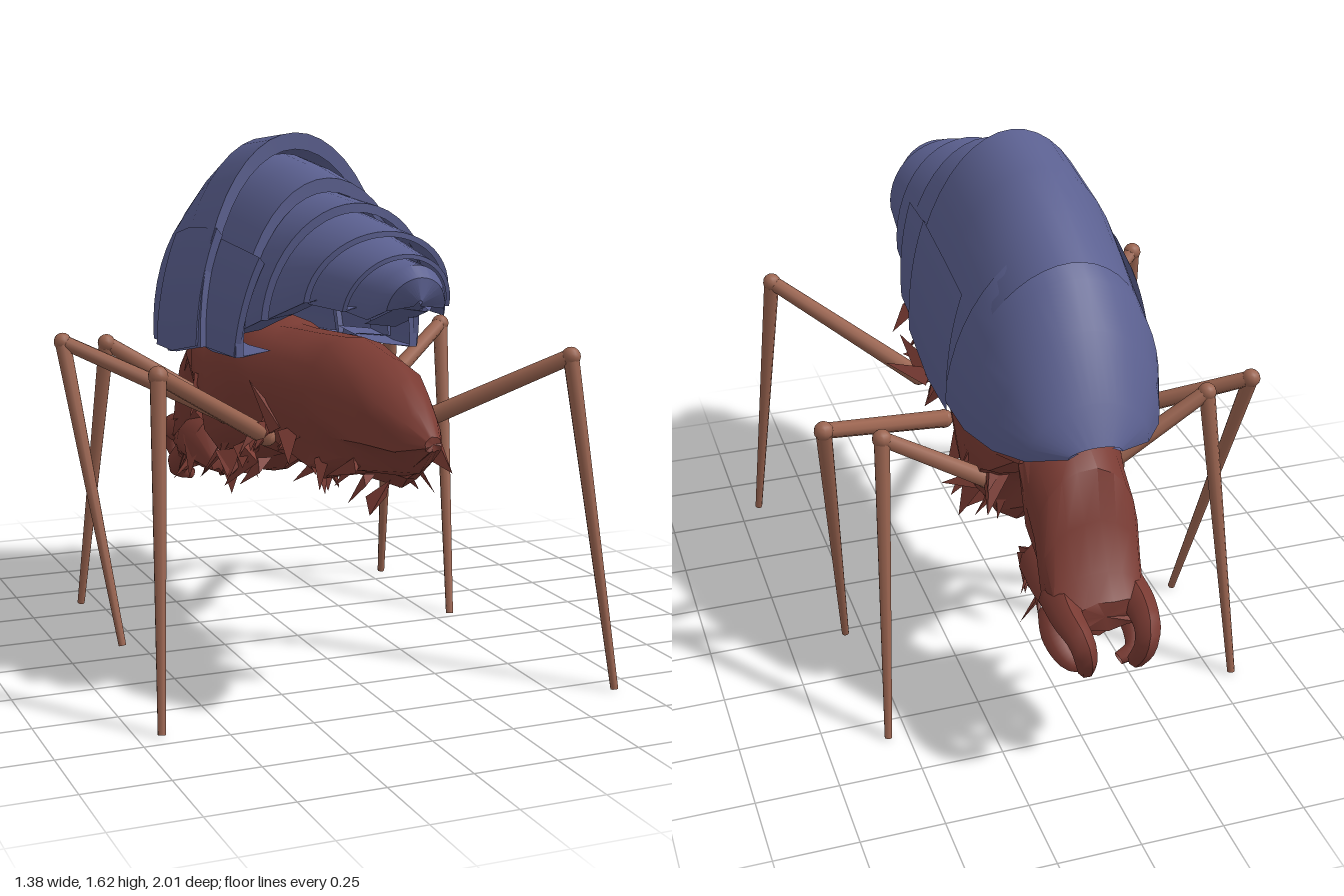
import * as THREE from 'three';
import { toCreasedNormals } from 'three/addons/utils/BufferGeometryUtils.js';

const shellBlue = new THREE.MeshStandardMaterial({ color: 0x5b6090, side: THREE.DoubleSide });
const fleshRed = new THREE.MeshStandardMaterial({ color: 0x7a3b33, side: THREE.DoubleSide });
const legBrown = new THREE.MeshStandardMaterial({ color: 0x9a6450 });

const V = (x, y, z) => new THREE.Vector3(x, y, z);
let seed = 7;
const rnd = () => { seed = (seed * 16807) % 2147483647; return seed / 2147483647; };
const jitter = (a) => (rnd() - 0.5) * a;

function add(parent, name, geometry, material) {
  const mesh = new THREE.Mesh(geometry, material);
  mesh.name = name;
  parent.add(mesh);
  return mesh;
}

// Skin joining a list of equally long rows of points
function skin(rows, crease) {
  const n = rows[0].length, pos = [], index = [];
  rows.forEach((row) => row.forEach((p) => pos.push(p.x, p.y, p.z)));
  for (let i = 0; i < rows.length - 1; i++) {
    for (let j = 0; j < n - 1; j++) {
      const a = i * n + j, b = a + n;
      index.push(a, a + 1, b, b, a + 1, b + 1);
    }
  }
  const g = new THREE.BufferGeometry();
  g.setAttribute('position', new THREE.Float32BufferAttribute(pos, 3));
  g.setIndex(index);
  return toCreasedNormals(g, crease);
}

// Arch of a shell plate: top z, bottom z, centre x, half width, top y, bottom y
function arch([zt, zb, cx, w, top, bot], scale = 1, t0 = 0, t1 = Math.PI) {
  const row = [];
  for (let j = 0; j <= 24; j++) {
    const t = t0 + (j / 24) * (t1 - t0), s = Math.sin(t);
    row.push(V(cx + scale * w * Math.cos(t), bot + (top - bot) * s * scale, zb + (zt - zb) * s));
  }
  return row;
}

// Full arch whose lower edges fold inward towards the body
function hemmedArch(section, scale = 1) {
  const [, zb, cx, w, , bot] = section;
  const hem = (s) => V(cx + s * w * 0.62, bot + 0.015, zb);
  return [hem(1), ...arch(section, scale), hem(-1)];
}

// Closed ring of the soft body: z, centre x, half width, top y, bottom y
function ring([z, cx, w, top, bot], rough) {
  const row = [], n = 18;
  for (let j = 0; j < n; j++) {
    const t = (j / n) * Math.PI * 2, low = Math.sin(t) < 0 ? rough : rough * 0.25;
    row.push(V(cx + w * Math.cos(t) + jitter(low),
      (top + bot) / 2 + (top - bot) / 2 * Math.sin(t) + jitter(low), z + jitter(low)));
  }
  row.push(row[0].clone());
  return row;
}

function soft(parent, name, sections, rough) {
  const rows = sections.map((s) => ring(s, rough * Math.min(1, s[2] / 0.12)));
  const cap = (s) => Array(19).fill(V(s[1], (s[3] + s[4]) / 2, s[0]));
  rows.unshift(cap(sections[0]));
  rows.push(cap(sections[sections.length - 1]));
  return add(parent, name, skin(rows, 0.7), fleshRed);
}

// Cylinder between two points
function rod(parent, name, a, b, ra, rb) {
  const d = b.clone().sub(a);
  const m = add(parent, name, new THREE.CylinderGeometry(rb, ra, d.length(), 8), legBrown);
  m.position.copy(a).addScaledVector(d, 0.5);
  m.quaternion.setFromUnitVectors(V(0, 1, 0), d.normalize());
}

// Flat pointed shard
function shard(parent, base, dir, length, width) {
  const m = add(parent, 'shard', new THREE.ConeGeometry(width, length, 3).toNonIndexed(), fleshRed);
  m.geometry.computeVertexNormals();
  dir.normalize();
  m.position.copy(base).addScaledVector(dir, length * 0.35);
  m.quaternion.setFromUnitVectors(V(0, 1, 0), dir);
  m.scale.z = 0.4;
}

// Tapering curved tube
function horn(parent, name, points, r0, r1) {
  const curve = new THREE.CatmullRomCurve3(points), n = 14;
  const g = new THREE.TubeGeometry(curve, n, r0, 7);
  const p = g.attributes.position, v = V(0, 0, 0);
  for (let i = 0; i < p.count; i++) {
    const u = Math.floor(i / 8) / n, c = curve.getPointAt(u);
    v.fromBufferAttribute(p, i).sub(c).multiplyScalar(1 + (r1 / r0 - 1) * u).add(c);
    p.setXYZ(i, v.x, v.y, v.z);
  }
  g.computeVertexNormals();
  add(parent, name, g, fleshRed);
}

export function createModel() {
  seed = 7;
  const model = new THREE.Group();
  model.name = 'shelledBeetle';

  // Overlapping shell plates, from the back to the front tip
  const shell = new THREE.Group();
  shell.name = 'shell';
  model.add(shell);
  const plates = {
    rearPlate: [[-0.765, -0.755, -0.02, 0.08, 1.02, 0.99], [-0.71, -0.68, -0.025, 0.185, 1.13, 0.96],
      [-0.6, -0.56, -0.035, 0.255, 1.3, 0.94], [-0.5, -0.42, -0.04, 0.302, 1.415, 0.94], [-0.38, -0.25, -0.04, 0.312, 1.49, 0.95]],
    mainPlate: [[-0.47, -0.31, -0.04, 0.302, 1.45, 0.95], [-0.3, -0.22, -0.045, 0.312, 1.54, 0.93],
      [-0.13, -0.08, -0.052, 0.322, 1.605, 0.95], [0.13, 0.17, -0.06, 0.32, 1.63, 1.0]],
    secondPlate: [[0, 0, -0.05, 0.3, 1.56, 1.0], [0.2, 0.2, -0.055, 0.298, 1.54, 0.99], [0.39, 0.39, -0.06, 0.288, 1.51, 1.0]],
    thirdPlate: [[0.28, 0.25, -0.05, 0.272, 1.47, 1.04], [0.56, 0.49, -0.045, 0.262, 1.45, 1.12]],
    fourthPlate: [[0.45, 0.4, -0.035, 0.24, 1.42, 1.1], [0.73, 0.67, -0.03, 0.22, 1.385, 1.19]],
    fifthPlate: [[0.62, 0.55, -0.03, 0.2, 1.37, 1.18], [0.86, 0.8, -0.03, 0.16, 1.335, 1.18]],
    tipPlate: [[0.78, 0.7, -0.03, 0.145, 1.32, 1.18], [0.9, 0.84, -0.02, 0.115, 1.31, 1.16], [0.935, 0.9, -0.02, 0.085, 1.28, 1.19], [0.935, 0.91, -0.02, 0.01, 1.22, 1.2]],
  };
  for (const [name, sections] of Object.entries(plates)) {
    const rows = sections.map((s) => hemmedArch(s));
    rows.push(hemmedArch(sections[sections.length - 1], 0.92)); // turned-in front rim
    add(shell, name, skin(rows, 0.6), shellBlue);
  }

  // Lower flank plates lying over the arches
  const flanks = [
    [[-0.25, -0.3, -0.045, 0.32, 1.55, 0.94], [-0.1, -0.1, -0.05, 0.328, 1.6, 0.95], [0.18, 0.14, -0.055, 0.324, 1.6, 1.0]],
    [[0.12, 0.12, -0.055, 0.306, 1.55, 1.0], [0.5, 0.38, -0.058, 0.288, 1.5, 1.0]],
  ];
  for (const sections of flanks) {
    for (const [t0, t1] of [[0, 0.62], [Math.PI - 0.62, Math.PI]]) {
      const rows = sections.map((s) => arch(s, 1.015, t0, t1));
      rows.push(arch(sections[sections.length - 1], 0.95, t0, t1));
      add(shell, 'flankPlate', skin(rows, 0.6), shellBlue);
    }
  }

  // Soft body with its pointed snout at the front
  soft(model, 'body', [[1, -0.01, 0.025, 0.86, 0.82], [0.93, -0.015, 0.065, 0.92, 0.76], [0.83, -0.02, 0.105, 0.985, 0.7],
    [0.7, -0.02, 0.14, 1.03, 0.68], [0.5, -0.02, 0.17, 1.06, 0.64], [0.3, -0.02, 0.2, 1.04, 0.65], [0.1, -0.02, 0.19, 1.03, 0.64],
    [-0.02, -0.01, 0.21, 1.03, 0.62], [-0.12, -0.01, 0.22, 1.04, 0.56], [-0.22, -0.01, 0.22, 1.04, 0.52], [-0.3, -0.01, 0.22, 1.04, 0.52],
    [-0.38, -0.01, 0.22, 1.03, 0.65], [-0.47, -0.01, 0.2, 1.0, 0.74], [-0.58, -0.01, 0.16, 0.98, 0.83]], 0.06);

  // Bent neck and head below the rear of the shell
  const head = new THREE.Group();
  head.name = 'head';
  model.add(head);
  soft(head, 'neck', [[-0.5, -0.01, 0.15, 0.99, 0.85], [-0.57, -0.01, 0.155, 0.99, 0.82], [-0.63, -0.015, 0.155, 0.97, 0.6],
    [-0.71, -0.015, 0.155, 0.92, 0.52], [-0.76, -0.015, 0.15, 0.78, 0.47], [-0.82, -0.015, 0.14, 0.64, 0.46],
    [-0.88, -0.015, 0.13, 0.58, 0.48]], 0.025);
  soft(head, 'jaw', [[-0.5, -0.01, 0.11, 0.53, 0.44], [-0.57, -0.01, 0.15, 0.64, 0.43], [-0.7, -0.015, 0.16, 0.64, 0.42],
    [-0.8, -0.015, 0.14, 0.58, 0.42]], 0.03);
  for (const s of [-1, 1]) {
    const P = (x, y, z) => V(-0.015 + s * x, y, z);
    horn(head, 'upperMandible', [P(0.1, 0.55, -0.76), P(0.11, 0.54, -0.88), P(0.1, 0.52, -0.96), P(0.09, 0.47, -0.97), P(0.075, 0.4, -0.935)], 0.06, 0.025);
    horn(head, 'lowerMandible', [P(0.1, 0.48, -0.74), P(0.12, 0.43, -0.8), P(0.1, 0.385, -0.86), P(0.05, 0.365, -0.87)], 0.055, 0.02);
  }

  // Ragged shards: z range, base y, base half width, count per side
  const shards = new THREE.Group();
  shards.name = 'shards';
  model.add(shards);
  const clusters = [[0.35, 0.8, 0.72, 0.14, 9], [0.22, 0.42, 0.76, 0.18, 8], [-0.3, 0.0, 0.62, 0.18, 14],
    [-0.45, -0.2, 0.75, 0.2, 5], [-0.7, -0.5, 0.52, 0.14, 7]];
  for (const [z0, z1, y, w, count] of clusters) {
    for (let i = 0; i < count * 2; i++) {
      const s = i % 2 ? 1 : -1;
      shard(shards, V(-0.01 + s * w * (0.4 + rnd() * 0.6), y + jitter(0.12), z0 + (z1 - z0) * rnd()),
        V(s * (0.1 + rnd() * 0.5), -0.6 + jitter(0.8), jitter(1.5)), 0.1 + rnd() * 0.07, 0.035 + rnd() * 0.035);
    }
  }
  for (const s of [-1, 1]) {
    shard(shards, V(s * 0.2, 0.79, 0.31), V(s * 0.5, 0.9, -0.2), 0.17, 0.035);
    shard(shards, V(s * 0.2, 0.76, 0.27), V(s * 0.7, 0.2, 0.4), 0.15, 0.035);
  }

  // Six thin jointed legs: hip, knee, foot
  const legs = [
    ['frontLeftLeg', V(0.2, 0.73, 0.32), V(0.61, 0.985, 0.645), V(0.68, 0.01, 0.83)],
    ['frontRightLeg', V(-0.2, 0.73, 0.25), V(-0.62, 0.985, 0.51), V(-0.68, 0.01, 0.69)],
    ['middleLeftLeg', V(0.2, 0.73, 0.02), V(0.655, 0.95, -0.32), V(0.56, 0.01, -0.025)],
    ['middleRightLeg', V(-0.2, 0.73, -0.12), V(-0.655, 0.95, -0.4), V(-0.56, 0.01, -0.1)],
    ['rearLeftLeg', V(0.18, 0.73, -0.37), V(0.5, 0.935, -0.39), V(0.56, 0.01, -0.585)],
    ['rearRightLeg', V(-0.18, 0.73, -0.41), V(-0.505, 0.935, -0.415), V(-0.56, 0.01, -0.6)],
  ];
  for (const [name, hip, knee, foot] of legs) {
    const leg = new THREE.Group();
    leg.name = name;
    model.add(leg);
    rod(leg, 'upperLeg', hip, knee, 0.029, 0.024);
    rod(leg, 'lowerLeg', knee, foot, 0.025, 0.012);
    add(leg, 'knee', new THREE.SphereGeometry(0.029, 12, 8), legBrown).position.copy(knee);
    add(leg, 'hip', new THREE.SphereGeometry(0.03, 12, 8), legBrown).position.copy(hip);
  }
  return model;
}
